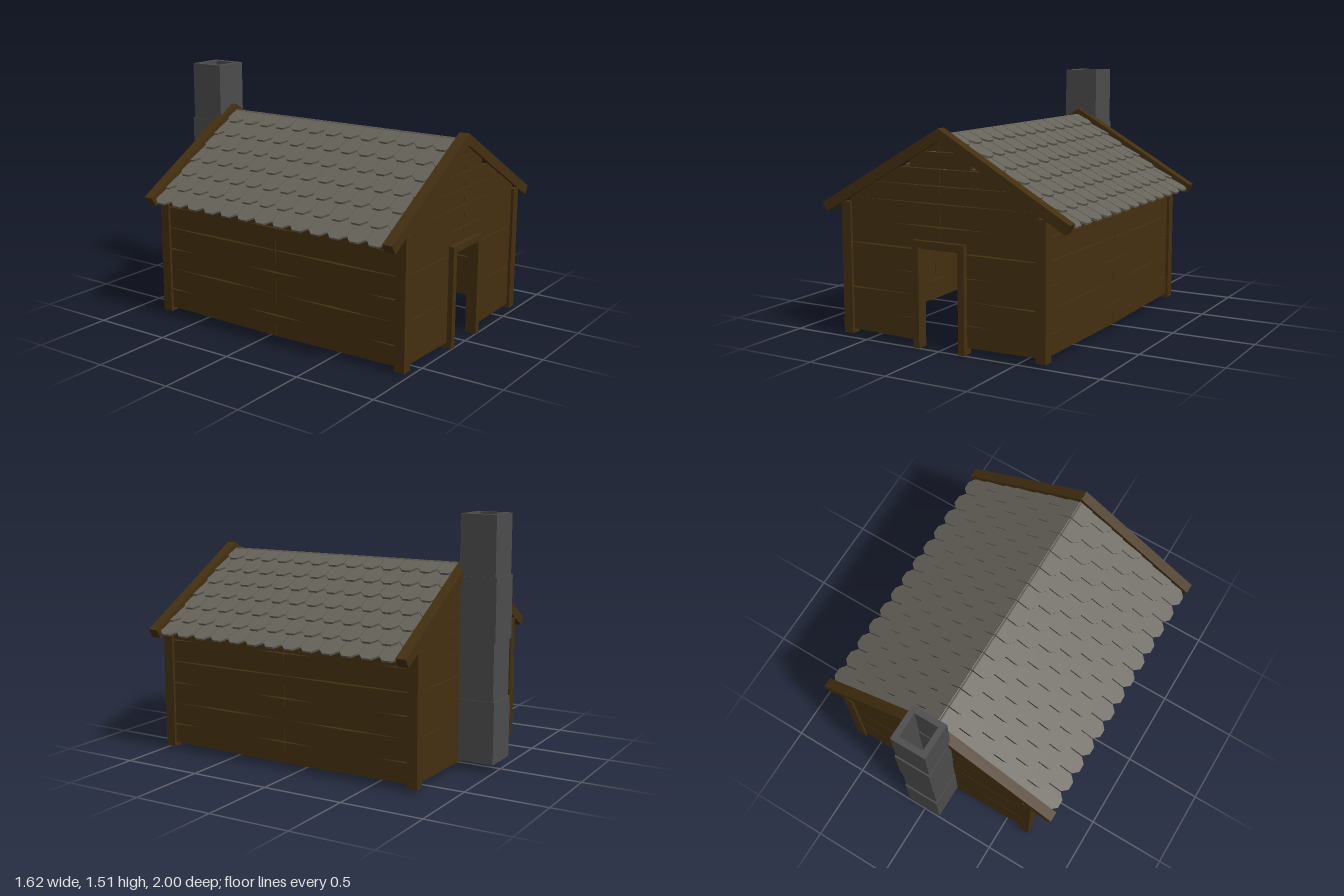
import * as THREE from 'three';

const wood = new THREE.MeshStandardMaterial({ color: 0x443010 });
const slate = new THREE.MeshStandardMaterial({ color: 0x66635a });
const stone = new THREE.MeshStandardMaterial({ color: 0x4c4c4c });

const FRONT = 0.953, BACK = -0.76, MID = (FRONT + BACK) / 2; // gable planes along z
const PITCH = Math.PI / 6;

function add(parent, name, geometry, material, x = 0, y = 0, z = 0) {
  const mesh = new THREE.Mesh(geometry, material);
  mesh.name = name;
  mesh.position.set(x, y, z);
  parent.add(mesh);
  return mesh;
}

function box(parent, name, x0, x1, y0, y1, z0, z1) {
  add(parent, name, new THREE.BoxGeometry(x1 - x0, y1 - y0, z1 - z0), wood,
    (x0 + x1) / 2, (y0 + y1) / 2, (z0 + z1) / 2);
}

// Flat outline given a thickness, centred on its plane
function slab(points, depth, hole) {
  const shape = new THREE.Shape(points.map(p => new THREE.Vector2(p[0], p[1])));
  if (hole) shape.holes.push(new THREE.Path(hole.map(p => new THREE.Vector2(p[0], p[1]))));
  return new THREE.ExtrudeGeometry(shape, { depth, bevelEnabled: false }).translate(0, 0, -depth / 2);
}

// Heights of the joints between plank rows, and how far each joint gapes
const joints = [0.04, 0.165, 0.3, 0.43, 0.565, 0.7, 0.83, 0.93, 1.025, 1.12, 1.19];
const gableHalf = [0.62, 0.62, 0.62, 0.62, 0.62, 0.62, 0.6, 0.41, 0.2, 0.1];

// Gap half-height at t = 0 (wall centre) to 1 (corner)
function gap(k, t, isSide) {
  if (k === 0 || k === 10) return 0;
  if (k === 4) return 0.002 + 0.003 * (1 - Math.abs(2 * t - 1));
  if (k > 5) return 0.003 * (1 - t);
  const middle = 1 - Math.abs(2 * t - 1);
  if (k % 2) return isSide ? 0.005 * Math.max(0, 1 - 2 * middle) : 0.005 * Math.max(0, 1 - 1.9 * t);
  return isSide ? 0.007 * Math.max(0, middle - 0.2) : 0.007 * Math.max(0, t - 0.3);
}

// Wall of plank rows split at the centre
function plankWall(name, half, rows, isSide, hasDoor) {
  const wall = new THREE.Group();
  wall.name = name;
  for (let r = 0; r < rows; r++) {
    const end = isSide ? half : gableHalf[r];
    const start = hasDoor && r < 4 ? 0.15 : 0.001;
    for (const s of [-1, 1]) {
      const low = [], high = [];
      for (let i = 0; i <= 4; i++) {
        const u = start + (end - start) * i / 4, t = u / half;
        const base = r === 0 ? 0.01 * (t - 0.5) : 0;
        const roofLimit = isSide ? 9 : 1.24 - u * Math.tan(PITCH);
        low.push([s * u, joints[r] + gap(r, t, isSide) + base]);
        high.unshift([s * u, Math.min(joints[r + 1] - gap(r + 1, t, isSide), roofLimit)]);
      }
      add(wall, 'plank', slab([...low, ...high], 0.03), wood);
    }
  }
  return wall;
}

// One roof slope of overlapping shingles; x runs down the slope
function roofSlope() {
  const slope = new THREE.Group();
  slope.name = 'roofSlope';
  const rows = 7, count = 13, pitch = 0.1325, half = 0.828, step = 2 * half / count, thick = 0.012;
  for (let r = 0; r < rows; r++) {
    const length = r === 0 ? pitch : 0.18, odd = r % 2;
    for (let i = 0; i < count + odd; i++) {
      const c = -half + step * (i + (odd ? 0 : 0.5));
      const cutLow = odd && i === 0, cutHigh = odd && i === count;
      const lo = cutLow ? -half : c - step / 2 + 0.003;
      const hi = cutHigh ? half : c + step / 2 - 0.003;
      const pts = [[-length, lo]];
      if (cutLow) pts.push([0, lo]); else pts.push([-0.036, lo], [0, lo + 0.034]);
      if (cutHigh) pts.push([0, hi]); else pts.push([0, hi - 0.034], [-0.036, hi]);
      pts.push([-length, hi]);
      const geo = slab(pts, thick).rotateX(Math.PI / 2).rotateZ(thick / pitch);
      add(slope, 'shingle', geo, slate, pitch * (r + 1), -thick / 2, 0);
    }
  }
  slope.rotation.z = -PITCH;
  return slope;
}

export function createModel() {
  const model = new THREE.Group();
  model.name = 'cabin';

  // Gable walls
  const front = plankWall('frontWall', 0.62, 10, false, true);
  front.position.z = FRONT;
  const back = plankWall('backWall', 0.62, 10, false, false);
  back.position.z = BACK;
  model.add(front, back);

  // Long walls and corner posts
  for (const s of [-1, 1]) {
    const side = plankWall(s > 0 ? 'leftWall' : 'rightWall', 0.835, 6, true, false);
    side.position.set(s * 0.64, 0, MID);
    side.rotation.y = Math.PI / 2;
    model.add(side);
    for (const z of [FRONT, BACK]) {
      const x = s * 0.64;
      box(model, 'cornerPost', x - 0.031, x + 0.031, 0.02, 0.8, z - 0.032, z + 0.032);
    }
  }

  // Boards along the gable edges
  const chevron = [[0, 1.25], [-0.81, 0.783], [-0.78, 0.731], [0, 1.181], [0.78, 0.731], [0.81, 0.783]];
  for (const z of [FRONT, BACK]) add(model, 'bargeBoard', slab(chevron, 0.064), wood, 0, 0, z);

  // Door frame
  for (const s of [-1, 1]) box(model, 'doorPost', s * 0.15 - 0.02, s * 0.15 + 0.02, 0, 0.582, 0.93, 1);
  box(model, 'doorLintel', -0.17, 0.17, 0.582, 0.62, 0.93, 1);

  // Roof
  for (const turn of [0, Math.PI]) {
    const holder = new THREE.Group();
    holder.name = 'roofHalf';
    holder.position.set(0, 1.226, MID);
    holder.rotation.y = turn;
    holder.add(roofSlope());
    model.add(holder);
  }

  // Hollow chimney in stacked sections
  const levels = [0.05, 0.425, 0.77, 1.15, 1.51];
  const square = h => [[-h, -h], [h, -h], [h, h], [-h, h]];
  for (let i = 0; i < 4; i++) {
    const wide = i % 2 === 0;
    const geo = slab(square(wide ? 0.116 : 0.112), levels[i + 1] - levels[i], square(0.076).reverse());
    add(model, 'chimneySection', geo.rotateX(-Math.PI / 2), stone,
      0, (levels[i] + levels[i + 1]) / 2, wide ? -0.884 : -0.879);
  }
  return model;
}
